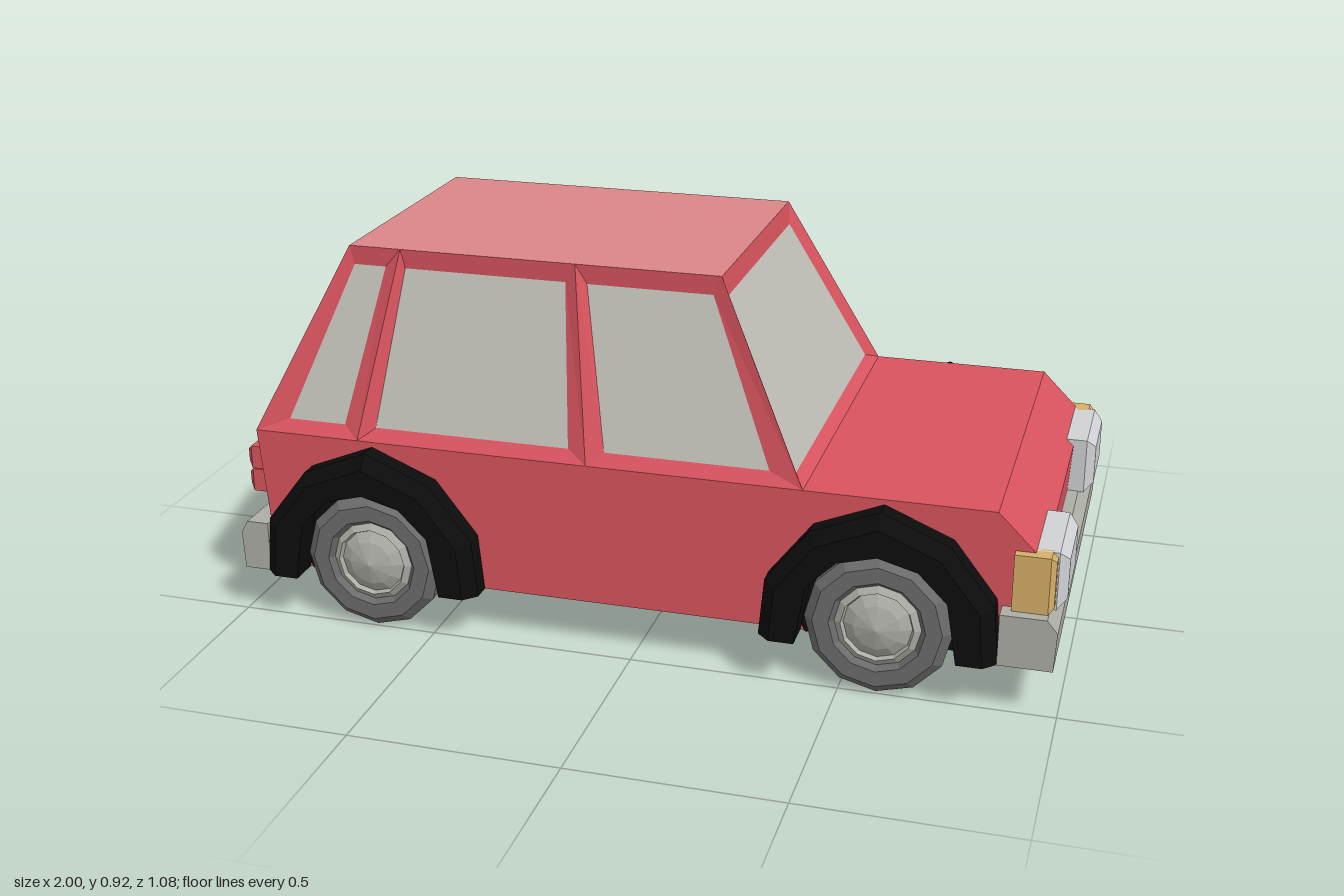
import * as THREE from 'three';

const mat = (name, color) => new THREE.MeshStandardMaterial({ name, color, flatShading: true, side: THREE.DoubleSide });

export function createModel() {
  const car = new THREE.Group();
  car.name = 'car';
  const M = {
    paint: mat('red paint', 0xd8535e),
    roof: mat('faded roof paint', 0xdb8686),
    glass: mat('window glass', 0xc0c0b8),
    black: mat('black trim', 0x0c0c0c),
    rubber: mat('grey rubber', 0x6c6c6c),
    chrome: mat('dull chrome', 0xacada5),
    lamp: mat('lamp silver', 0xcfd1d4),
    amber: mat('amber lens', 0xd6ae68),
  };

  const add = (name, geometry, material, parent = car) => {
    const mesh = new THREE.Mesh(geometry, material);
    mesh.name = name;
    parent.add(mesh);
    return mesh;
  };
  const box = (name, x0, x1, y0, y1, z0, z1, material) => {
    const g = new THREE.BoxGeometry(x1 - x0, y1 - y0, z1 - z0);
    g.translate((x0 + x1) / 2, (y0 + y1) / 2, (z0 + z1) / 2);
    return add(name, g, material);
  };
  // side profile in x,y extruded symmetrically across z
  const across = (name, pts, half, material) => {
    const g = new THREE.ExtrudeGeometry(new THREE.Shape(pts.map(p => new THREE.Vector2(...p))),
      { depth: half * 2, bevelEnabled: false });
    g.translate(0, 0, -half);
    return add(name, g, material);
  };
  // quads with corners counter-clockwise seen from outside
  const quads = (list, flip = false) => {
    const pos = [];
    for (const q of list) {
      const [a, b, c, d] = flip ? [...q].reverse() : q;
      for (const p of [a, b, c, a, c, d]) pos.push(...p);
    }
    const g = new THREE.BufferGeometry();
    g.setAttribute('position', new THREE.Float32BufferAttribute(pos, 3));
    g.computeVertexNormals();
    return g;
  };

  // lower body
  across('lowerBody', [[-0.925, 0.12], [0.93, 0.12], [0.945, 0.365], [0.84, 0.47], [-0.955, 0.47]], 0.465, M.paint);
  box('underside', -0.91, 0.91, 0.115, 0.122, -0.455, 0.455, M.black);
  box('floorPlate', -0.86, 0.82, 0.08, 0.119, -0.26, 0.26, M.rubber);

  // cabin: each window is a sunken pane inside a sloping frame
  const Y0 = 0.47, Y1 = 0.915, DEPTH = 0.015;
  const windowCell = (name, outer, inner, normal, flip) => {
    const n = new THREE.Vector3(...normal).normalize().multiplyScalar(-DEPTH);
    const sunk = inner.map(p => [p[0] + n.x, p[1] + n.y, p[2] + n.z]);
    const frame = outer.map((p, i) => {
      const j = (i + 1) % 4;
      return [p, outer[j], sunk[j], sunk[i]];
    });
    add(name + 'Frame', quads(frame, flip), M.paint);
    add(name + 'Glass', quads([sunk], flip), M.glass);
  };
  // x positions: bottom left, bottom right, top right, top left
  const sideCells = [
    ['quarterWindow', [-0.955, -0.69, -0.61, -0.74], [-0.875, -0.73, -0.65, -0.73]],
    ['rearDoorWindow', [-0.69, -0.115, -0.175, -0.61], [-0.65, -0.165, -0.2, -0.6]],
    ['frontDoorWindow', [-0.115, 0.4, 0.175, -0.175], [-0.077, 0.317, 0.155, -0.147]],
  ];
  for (const s of [1, -1]) {
    const at = (x, y) => [x, y, s * (0.465 - 0.13 * (y - Y0) / (Y1 - Y0))];
    for (const [name, o, i] of sideCells) {
      windowCell(name, o.map((x, k) => at(x, k < 2 ? Y0 : Y1)),
        i.map((x, k) => at(x, k < 2 ? 0.503 : 0.873)), [0, 0.13, s * 0.445], s < 0);
    }
  }
  for (const [name, xb, xt, s] of [['windshield', 0.4, 0.175, 1], ['rearWindow', -0.955, -0.74, -1]]) {
    const at = (y, z) => [xb + (xt - xb) * (y - Y0) / (Y1 - Y0), y, z * s];
    windowCell(name, [at(Y0, 0.465), at(Y0, -0.465), at(Y1, -0.335), at(Y1, 0.335)],
      [at(0.497, 0.413), at(0.497, -0.413), at(0.87, -0.307), at(0.87, 0.307)],
      [s * 0.445, Math.abs(xb - xt), 0], false);
  }
  add('roof', quads([[[-0.74, Y1, 0.335], [0.175, Y1, 0.335], [0.175, Y1, -0.335], [-0.74, Y1, -0.335]]]), M.roof);

  // wheel arches: a five-point section swept round the wheel
  const archPts = [[0.275, 0.12], [0.262, 0.26], [0.16, 0.392], [0, 0.458], [-0.16, 0.392], [-0.262, 0.26], [-0.275, 0.12]];
  const archGeometry = (cx, s) => {
    const sections = archPts.map(([x, y], i) => {
      const a = i * Math.PI / 6;
      const inner = [0.185 * Math.cos(a), i % 6 ? 0.175 + 0.185 * Math.sin(a) : 0.12];
      const k = 0.89;
      const lip = [x * k, i % 6 ? 0.175 + (y - 0.175) * k : 0.12];
      return [[inner, 0.36], [inner, 0.54], [lip, 0.54], [[x, y], 0.51], [[x, y], 0.36]]
        .map(([p, z]) => [cx + p[0], p[1], s * z]);
    });
    const list = [];
    for (let i = 0; i < 6; i++) {
      for (let j = 0; j < 4; j++) {
        list.push([sections[i][j], sections[i][j + 1], sections[i + 1][j + 1], sections[i + 1][j]].reverse());
      }
    }
    for (const e of [0, 6]) {
      const c = sections[e];
      const cap = [[c[0], c[1], c[2], c[3]], [c[0], c[3], c[4], c[4]]];
      list.push(...cap.map(q => e ? [...q].reverse() : q));
    }
    return quads(list, s < 0);
  };

  // wheels, turned round a vertical axis and laid on their side
  const lathe = pts => new THREE.LatheGeometry(pts.map(p => new THREE.Vector2(...p)), 12);
  const tyre = lathe([[0, -0.075], [0.15, -0.075], [0.172, -0.055], [0.172, 0.055], [0.15, 0.075], [0.112, 0.075], [0.1, 0.06]]);
  const hub = lathe([[0.102, 0.06], [0.085, 0.072], [0.08, 0.06], [0.055, 0.075], [0, 0.09]]);
  for (const cx of [-0.652, 0.587]) {
    for (const s of [1, -1]) {
      add('wheelArch', archGeometry(cx, s), M.black);
      const well = new THREE.CylinderGeometry(0.2, 0.2, 0.008, 12, 1, false);
      well.rotateX(Math.PI / 2);
      // dark backing cut off at the sill line
      const p = well.attributes.position;
      for (let i = 0; i < p.count; i++) p.setY(i, Math.max(p.getY(i), -0.055));
      well.translate(cx, 0.175, s * 0.467);
      add('wheelWell', well, M.black);
      const wheel = new THREE.Group();
      wheel.name = 'wheel';
      wheel.position.set(cx, 0.172, s * 0.435);
      wheel.rotation.x = s * Math.PI / 2;
      add('tyre', tyre, M.rubber, wheel);
      add('hubcap', hub, M.chrome, wheel);
      car.add(wheel);
    }
  }

  // bumpers
  across('frontBumper', [[0.86, 0.12], [0.985, 0.12], [0.99, 0.215], [0.965, 0.245], [0.86, 0.245]], 0.513, M.chrome);
  across('rearBumper', [[-0.92, 0.245], [-0.975, 0.245], [-0.992, 0.215], [-0.988, 0.12], [-0.92, 0.12]], 0.513, M.chrome);

  // lamp block with a bevelled face pointing along x
  const lamp = (name, x0, x1, y0, y1, z0, z1, bevel, material) => {
    const g = new THREE.BoxGeometry(1, 1, 1, 2, 1, 1);
    const p = g.attributes.position;
    const face = x1 - Math.sign(x1 - x0) * bevel;
    for (let i = 0; i < p.count; i++) {
      const fx = (p.getX(i) + 0.5) * Math.sign(x1 - x0);
      const end = x1 > x0 ? fx : 1 + fx;
      const b = end > 0.9 ? bevel : 0;
      p.setXYZ(i, end < 0.1 ? x0 : end < 0.9 ? face : x1,
        p.getY(i) > 0 ? y1 - b : y0 + b, p.getZ(i) > 0 ? z1 - b : z0 + b);
    }
    g.computeVertexNormals();
    return add(name, g, material);
  };
  for (const s of [1, -1]) {
    const span = (a, b) => s > 0 ? [a, b] : [-b, -a];
    lamp('headlight', 0.88, 1.0, 0.243, 0.383, ...span(0.225, 0.452), 0.022, M.lamp);
    lamp('indicator', 0.882, 0.975, 0.246, 0.383, ...span(0.44, 0.488), 0.012, M.amber);
    for (const y of [0.297, 0.357]) {
      lamp('tailLight', -0.93, -1.0, y, y + 0.058, ...span(0.217, 0.443), 0.014, M.paint);
    }
  }
  return car;
}
